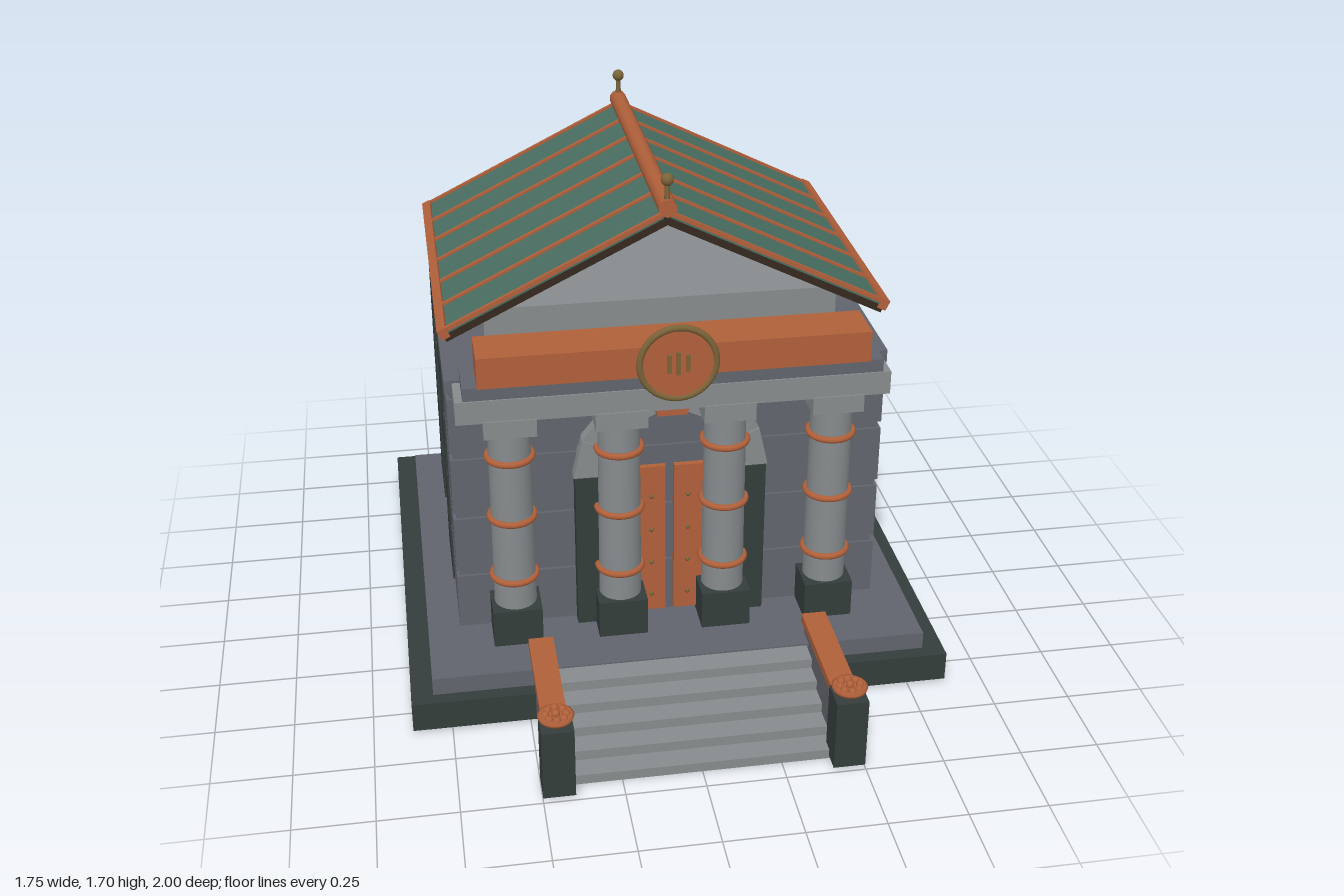
import * as THREE from 'three';

const mat = (name, color) => {
  const m = new THREE.MeshStandardMaterial({ color });
  m.name = name;
  return m;
};

export function createModel() {
  const stone = mat('slate stone', 0x62646d);
  const pale = mat('pale stone', 0x878b8d);
  const dark = mat('dark stone', 0x343d3b);
  const copper = mat('copper', 0xb0603a);
  const green = mat('patina green', 0x486d61);
  const brass = mat('brass', 0x7a6338);
  const timber = mat('dark timber', 0x35291f);

  const model = new THREE.Group();
  model.name = 'templeBuilding';

  const add = (name, geo, material, x = 0, y = 0, z = 0, parent = model) => {
    const mesh = new THREE.Mesh(geo, material);
    mesh.name = name;
    mesh.position.set(x, y, z);
    parent.add(mesh);
    return mesh;
  };
  // Box given by its limits on each axis
  const box = (name, material, [x0, x1], [y0, y1], [z0, z1], parent = model) =>
    add(name, new THREE.BoxGeometry(x1 - x0, y1 - y0, z1 - z0), material,
      (x0 + x1) / 2, (y0 + y1) / 2, (z0 + z1) / 2, parent);

  // Foundation
  box('baseSlab', dark, [-0.875, 0.875], [0.01, 0.11], [-1, 0.605]);
  box('upperPlinth', stone, [-0.805, 0.805], [0.11, 0.17], [-0.9, 0.56]);

  // Walls: recessed core with stone courses and dark panels
  box('wallCore', stone, [-0.69, 0.69], [0.17, 1.07], [-0.83, 0.27]);
  for (let i = 0; i < 4; i++) {
    const y0 = 0.17 + i * 0.217;
    const ys = [y0, y0 + 0.193];
    box('wallCourse', stone, [-0.7, 0.7], ys, [-0.84, 0.28]);
    for (const s of [-1, 1]) {
      for (const z of [-0.14, -0.695])
        box('sidePanel', dark, [s * 0.702 - 0.004, s * 0.702 + 0.004], ys, [z - 0.133, z + 0.133]);
      box('backPanel', dark, [s * 0.275 - 0.133, s * 0.275 + 0.133], ys, [-0.846, -0.838]);
    }
  }
  box('wallCap', stone, [-0.705, 0.705], [1.035, 1.08], [-0.843, 0.28]);
  box('attic', pale, [-0.565, 0.565], [1.08, 1.25], [-0.74, 0.14]);

  // Roof: each slope is built flat, then tilted; the left one is turned round
  const zMid = -0.303, half = 0.542, slope = 0.766;
  for (const s of [1, -1]) {
    const turn = new THREE.Group();
    turn.name = s > 0 ? 'leftRoofSlope' : 'rightRoofSlope';
    turn.position.set(0, 1.535, zMid);
    turn.rotation.y = s > 0 ? 0 : Math.PI;
    const tilt = new THREE.Group();
    tilt.rotation.z = -0.461;
    turn.add(tilt);
    model.add(turn);
    box('roofBoard', timber, [0, slope], [0, 0.024], [-half, half], tilt);
    box('roofSheet', green, [0, slope], [0.024, 0.036], [-half, half], tilt);
    for (let i = 0; i < 7; i++) {
      const z = (i / 3 - 1) * (half - 0.006);
      box('roofSeam', copper, [0, slope], [0.03, 0.044], [z - 0.007, z + 0.007], tilt);
    }
    box('eaveTrim', copper, [slope - 0.02, slope + 0.01], [0.012, 0.046], [-half - 0.004, half + 0.004], tilt);
  }
  add('roofRidge', new THREE.CylinderGeometry(0.029, 0.029, 1.096, 10), copper, 0, 1.59, zMid)
    .rotation.x = Math.PI / 2;
  for (const z of [0.228, -0.832]) {
    add('finialStem', new THREE.CylinderGeometry(0.007, 0.01, 0.07, 10), brass, 0, 1.64, z);
    add('finialBall', new THREE.SphereGeometry(0.02, 14, 10), brass, 0, 1.678, z);
  }

  // Portico columns
  const colZ = 0.335;
  for (const x of [-0.515, -0.17, 0.17, 0.515]) {
    const col = new THREE.Group();
    col.name = 'column';
    col.position.set(x, 0, colZ);
    model.add(col);
    box('columnPedestal', dark, [-0.08, 0.08], [0.17, 0.3], [-0.08, 0.08], col);
    add('columnShaft', new THREE.CylinderGeometry(0.067, 0.069, 0.64, 24), pale, 0, 0.62, 0, col);
    for (const y of [0.4, 0.62, 0.837])
      add('columnBand', new THREE.TorusGeometry(0.071, 0.011, 8, 28), copper, 0, y, 0, col)
        .rotation.x = Math.PI / 2;
    box('columnCapital', pale, [-0.082, 0.082], [0.94, 1.0], [-0.085, 0.085], col);
  }

  // Entablature
  box('architrave', pale, [-0.68, 0.68], [0.995, 1.072], [0.25, 0.415]);
  box('cornice', stone, [-0.655, 0.655], [1.072, 1.115], [0.255, 0.41]);
  box('frieze', copper, [-0.61, 0.61], [1.115, 1.217], [0.26, 0.42]);

  // Medallion
  add('medallionDisc', new THREE.CylinderGeometry(0.12, 0.12, 0.03, 36), copper, 0, 1.168, 0.432)
    .rotation.x = Math.PI / 2;
  add('medallionRim', new THREE.TorusGeometry(0.118, 0.011, 8, 40), brass, 0, 1.168, 0.442);
  [[-0.028, 0.06], [0, 0.075], [0.03, 0.055]].forEach(([x, h]) =>
    box('medallionBar', brass, [x - 0.006, x + 0.006], [1.17 - h / 2, 1.17 + h / 2], [0.446, 0.454]));

  // Doorway
  for (const s of [-1, 1]) {
    const span = (a, b) => (s > 0 ? [a, b] : [-b, -a]);
    box('doorJamb', dark, span(0.2, 0.31), [0.17, 0.72], [0.27, 0.325]);
    box('doorLeaf', copper, span(0.014, 0.2), [0.182, 0.73], [0.27, 0.3]);
    for (const x of [0.06, 0.15])
      for (const y of [0.245, 0.37, 0.495, 0.62])
        add('doorStud', new THREE.SphereGeometry(0.008, 8, 6), brass, s * x, y, 0.3);
  }

  // Arch of seven wedge stones, the middle one a copper keystone
  const n = 7;
  for (let i = 0; i < n; i++) {
    const key = i === 3;
    const a0 = (Math.PI * i) / n + 0.006, a1 = (Math.PI * (i + 1)) / n - 0.006;
    const r0 = 0.22, r1 = 0.315;
    const wedge = new THREE.Shape([[r0, a0], [r1, a0], [r1, a1], [r0, a1]]
      .map(([r, a]) => new THREE.Vector2(r * Math.cos(a), r * Math.sin(a))));
    const geo = new THREE.ExtrudeGeometry(wedge, { depth: key ? 0.075 : 0.055, bevelEnabled: false });
    add(key ? 'archKeystone' : 'archStone', geo, key ? copper : pale, 0, 0.722, 0.27);
  }

  // Front steps, separate overlapping slabs
  for (let i = 0; i < 5; i++) {
    const z = 0.93 - i * 0.073;
    box('step', pale, [-0.41, 0.41], [i * 0.033, (i + 1) * 0.033], [z - 0.09, z]);
  }

  // Stair walls, posts and fire bowls
  const bowl = [[0, 0], [0.028, 0], [0.025, 0.008], [0.052, 0.02], [0.056, 0.03], [0.048, 0.034], [0, 0.03]]
    .map(([r, y]) => new THREE.Vector2(r, y));
  for (const s of [-1, 1]) {
    const x = s * 0.45;
    box('stairWall', stone, [x - 0.032, x + 0.032], [0.04, 0.207], [0.49, 0.9]);
    box('stairWallCap', copper, [x - 0.04, x + 0.04], [0.207, 0.235], [0.48, 0.9]);
    box('stairPost', dark, [x - 0.05, x + 0.05], [0.01, 0.25], [0.89, 0.99]);
    add('fireBowl', new THREE.LatheGeometry(bowl, 20), copper, x, 0.25, 0.94);
    const ember = new THREE.SphereGeometry(0.013, 10, 8);
    add('ember', ember, copper, x, 0.285, 0.94);
    for (let i = 0; i < 8; i++) {
      const a = (i * Math.PI) / 4;
      add('ember', ember, copper, x + 0.032 * Math.cos(a), 0.281, 0.94 + 0.032 * Math.sin(a));
    }
  }

  return model;
}
